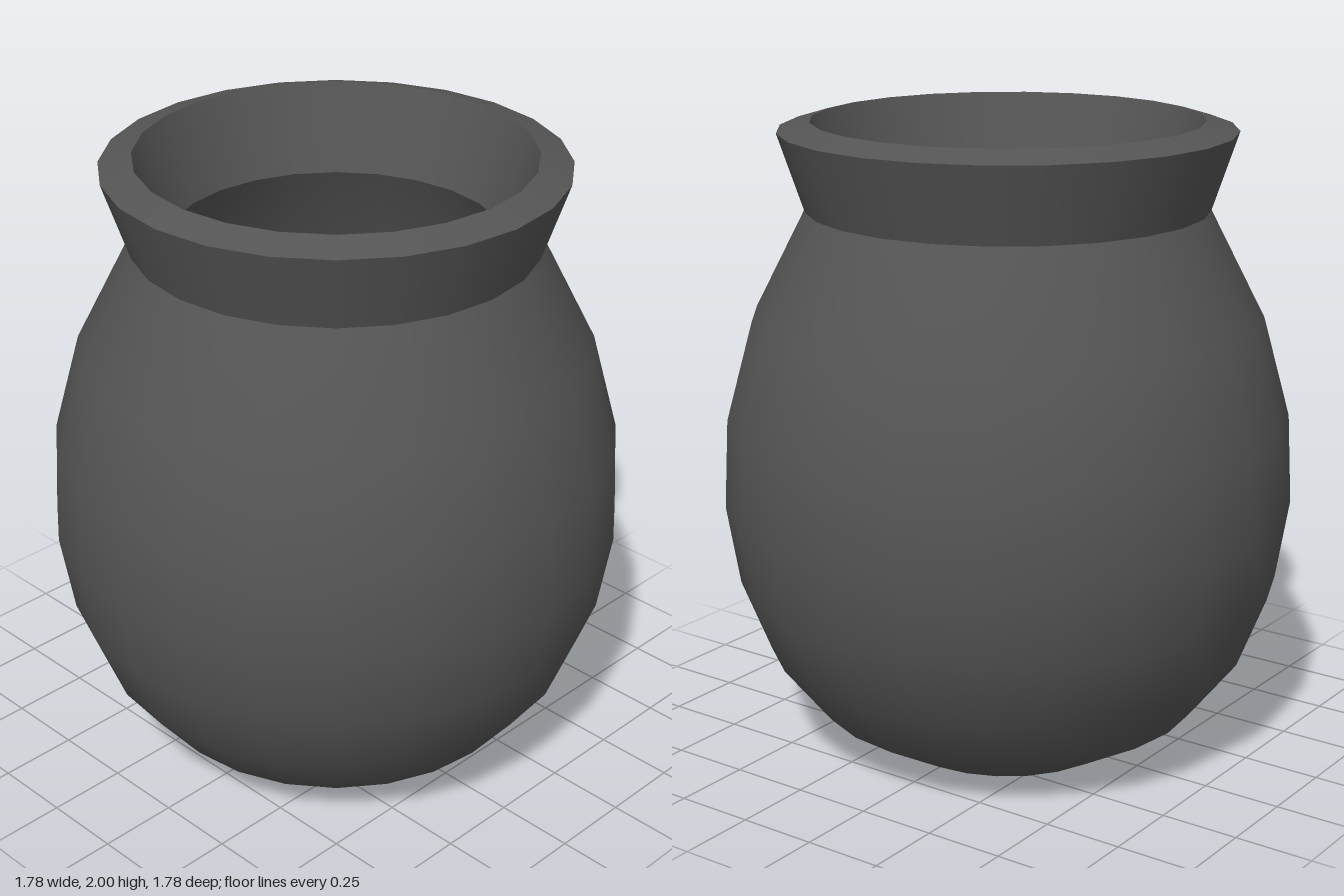
import * as THREE from 'three';

const SEGMENTS = 24;

export function createModel() {
  const group = new THREE.Group();
  group.name = 'pot';
  const material = new THREE.MeshStandardMaterial({ color: 0x555555 });

  // Each band is smooth in itself; the joins between bands stay sharp.
  // Profiles run up the outside, over the rim and down the inside.
  const addBand = (name, profile) => {
    const points = profile.map(([r, y]) => new THREE.Vector2(r, y));
    const mesh = new THREE.Mesh(new THREE.LatheGeometry(points, SEGMENTS), material);
    mesh.name = name;
    group.add(mesh);
  };

  // Rounded outer body, closed at the base
  addBand('body', [
    [0, 0], [0.37, 0], [0.61, 0.14], [0.76, 0.33], [0.85, 0.56],
    [0.89, 0.81], [0.875, 1.09], [0.79, 1.4], [0.62, 1.73],
  ]);

  // Flared collar and its sloping lip
  addBand('collar', [[0.62, 1.73], [0.70, 1.97]]);
  addBand('lip', [[0.70, 1.97], [0.60, 2.0]]);
  addBand('collarInside', [[0.60, 2.0], [0.51, 1.73]]);

  // Hollow inside
  addBand('innerWall', [
    [0.51, 1.73], [0.69, 1.37], [0.77, 1.07], [0.79, 0.82],
    [0.75, 0.59], [0.67, 0.39], [0.53, 0.2],
  ]);
  addBand('innerFloor', [[0.53, 0.2], [0, 0.2]]);

  return group;
}
